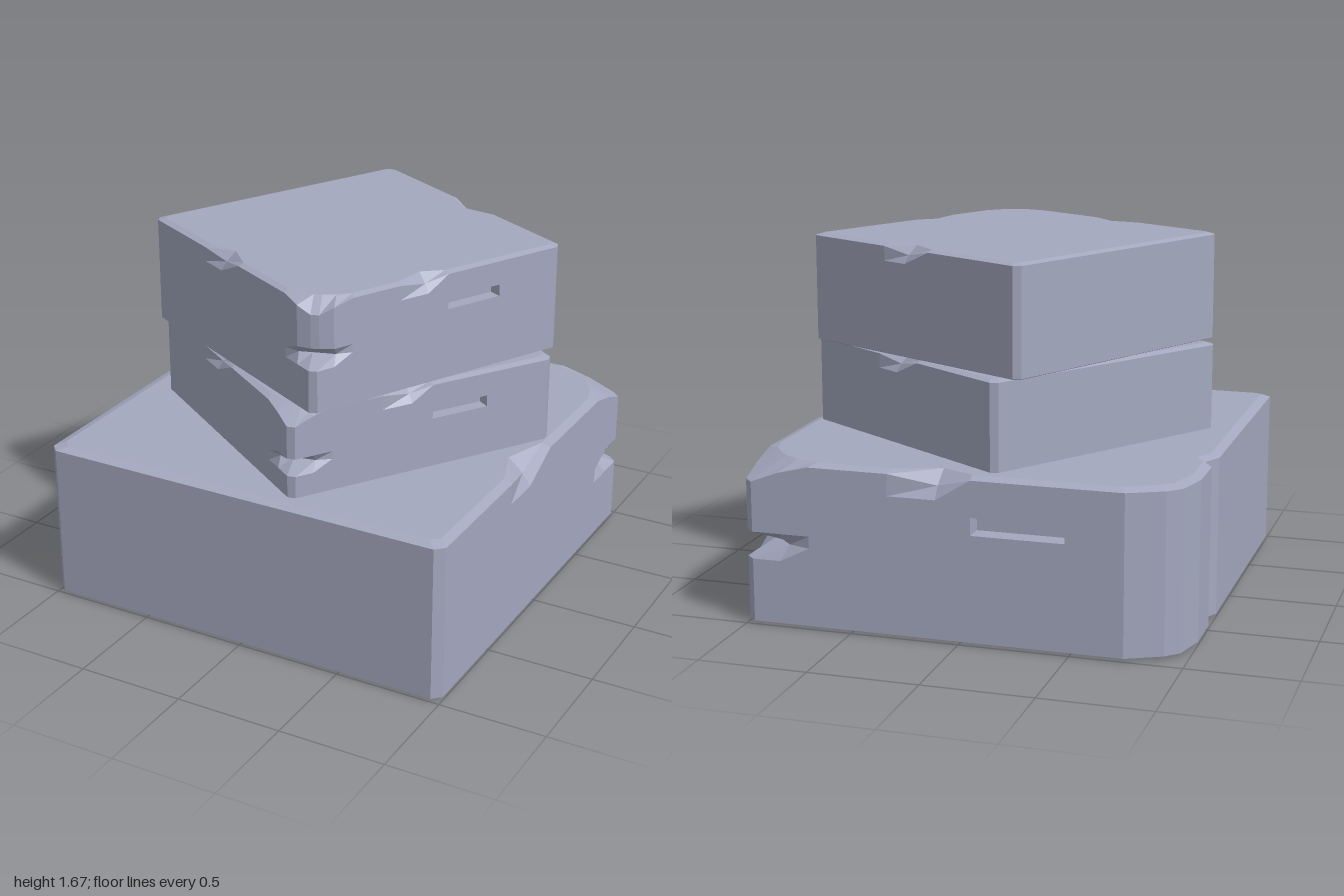
import * as THREE from 'three';

// Height levels of the loft; slot and notch sit on fixed rows
const LEVELS = [0, 0.015, 0.305, 0.375, 0.43, 0.5, 0.58, 0.645, 0.745, 0.76];
const SLOT_ROW = 5, NOTCH = 3, RIM = 8, TOP = 9;

// Outline columns [x, z, kind], counter-clockwise from above.
// kind: e = worn corner, m = beside it, c = chipped rim, s = slot starts here
const CORNER_TO_SLOT = [
  [1, -0.96, 'e'], [0.96, -1, 'e'], [0.83, -1, 'm'], [0.69, -1],
  [0.32, -1], [0.1, -1, 'c'], [-0.06, -1, 's'], [-0.48, -1],
];
const WORN_END = [[-0.74, -1], [-0.9, -0.92], [-0.96, -0.86], [-1, -0.7],
  [-1, -0.48], [-0.955, -0.4], [-1, -0.31]];
const SQUARE_END = [[-0.96, -1], [-1, -0.96], [-1, -0.25], [-1, -0.05, 'c'], [-1, 0.18]];
const FRONT_TO_CORNER = [
  [-1, 0.96], [-0.96, 1], [0.96, 1], [1, 0.96],
  [1, 0.31], [1, 0.1, 'c'], [1, -0.12], [1, -0.69], [1, -0.83, 'm'],
];

// Position of one outline column at one level, with chips and notch applied
function place([x, z, kind], level, wear) {
  let y = LEVELS[level];
  const p = new THREE.Vector3(x, y, z);
  const inset = (d) => { p.x -= d * Math.sign(x); p.z -= d * Math.sign(z); };
  if (level === 0) { p.x *= 0.96; p.z *= 0.96; }
  if (level === TOP) { p.x *= 0.957; p.z *= 0.957; }
  if (kind === 'c') {
    const into = level === TOP ? 0.07 : level === RIM ? 0.04 : 0;
    if (Math.abs(x) === 1) p.x -= into * x; else p.z -= into * z;
    if (level === RIM) p.y = 0.7;
  }
  if (kind === 'e') {
    if (level === NOTCH) inset(0.1);
    else if (level === TOP) inset(0.08);
    else if (level > NOTCH) inset(wear);
    if (level === RIM) p.y = 0.66;
  }
  if (kind === 'm') {
    if (level === NOTCH) inset(0.035);
    if (level === TOP) inset(0.03);
    if (level === RIM) p.y = 0.71;
  }
  return p;
}

// One chipped slab: lofted sides, fan caps and a sunken slot
function slabGeometry(end, wear) {
  const columns = [...CORNER_TO_SLOT, ...end, ...FRONT_TO_CORNER];
  const n = columns.length;
  const rings = LEVELS.map((_, level) => columns.map((c) => place(c, level, wear)));
  const out = [];
  const tri = (...pts) => pts.forEach((p) => out.push(p.x, p.y, p.z));
  const quad = (a, b, c, d) => { tri(a, b, c); tri(a, c, d); };

  for (let j = 0; j < TOP; j++) {
    for (let i = 0; i < n; i++) {
      const k = (i + 1) % n;
      const cell = [rings[j][i], rings[j][k], rings[j + 1][k], rings[j + 1][i]];
      if (j === SLOT_ROW && columns[i][2] === 's') {
        const back = cell.map((p) => p.clone().add(new THREE.Vector3(0, 0, 0.09)));
        quad(...back);
        for (let s = 0; s < 4; s++) {
          const t = (s + 1) % 4;
          quad(cell[s], cell[t], back[t], back[s]);
        }
      } else quad(...cell);
    }
  }
  const low = new THREE.Vector3(0, 0, 0), high = new THREE.Vector3(0, LEVELS[TOP], 0);
  for (let i = 0; i < n; i++) {
    const k = (i + 1) % n;
    tri(high, rings[TOP][i], rings[TOP][k]);
    tri(low, rings[0][k], rings[0][i]);
  }
  const geometry = new THREE.BufferGeometry();
  geometry.setAttribute('position', new THREE.Float32BufferAttribute(out, 3));
  geometry.computeVertexNormals(); // unshared corners give flat faces
  return geometry;
}

export function createModel() {
  const group = new THREE.Group();
  group.name = 'stackedStones';
  const stone = new THREE.MeshStandardMaterial({ color: 0xa4a8bf });
  stone.name = 'stone';

  const addSlab = (name, end, wear, scale, position, degrees) => {
    const mesh = new THREE.Mesh(slabGeometry(end, wear), stone);
    mesh.name = name;
    mesh.scale.setScalar(scale);
    mesh.position.set(...position);
    mesh.rotation.y = THREE.MathUtils.degToRad(degrees);
    group.add(mesh);
  };
  addSlab('baseStone', WORN_END, 0, 1, [0, 0, 0], 0);
  // The middle stone is sunk a little into the base
  addSlab('middleStone', SQUARE_END, 0, 0.665, [0.045, 0.66, 0.003], -123.6);
  addSlab('topStone', SQUARE_END, 0.05, 0.665, [0.043, 1.163, -0.003], -117.5);
  return group;
}
